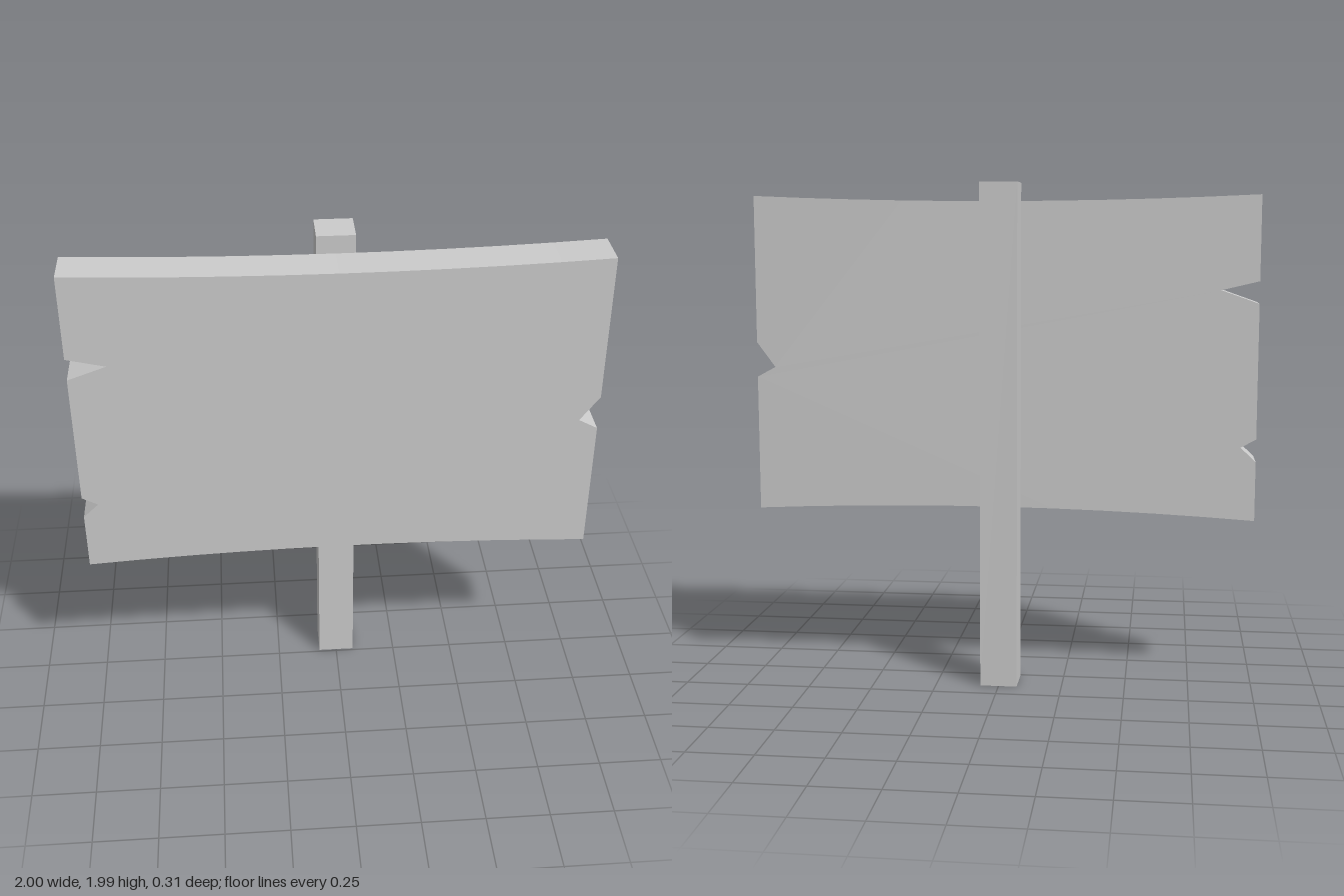
import * as THREE from 'three';

const material = new THREE.MeshStandardMaterial({ color: 0xcccccc, flatShading: true });

// Plank outline: sagging top, arched bottom, chipped side edges
function createBoard() {
  const outline = new THREE.Shape();
  outline.moveTo(-1, 0.665);
  outline.quadraticCurveTo(0, 0.73, 1, 0.675);
  const rightChip = [[1, 1.215], [0.926, 1.255], [1, 1.355], [1, 1.938]];
  rightChip.forEach(([x, y]) => outline.lineTo(x, y));
  outline.quadraticCurveTo(0, 1.892, -1, 1.938);
  const leftChips = [
    [-1, 1.607], [-0.853, 1.572], [-1, 1.52],
    [-1, 0.99], [-0.94, 0.957], [-1, 0.9],
  ];
  leftChips.forEach(([x, y]) => outline.lineTo(x, y));
  outline.closePath();

  const geometry = new THREE.ExtrudeGeometry(outline, {
    depth: 0.163, bevelEnabled: false, curveSegments: 10,
  });
  const board = new THREE.Mesh(geometry, material);
  board.name = 'signBoard';
  board.position.z = -0.008;
  return board;
}

// Square post behind the board, hollow and open at the foot
function createPost() {
  const geometry = new THREE.BoxGeometry(0.146, 1.985, 0.146);
  const faces = Array.from(geometry.index.array);
  faces.splice(18, 6); // drop the underside
  geometry.setIndex(faces);
  geometry.clearGroups();
  const postMaterial = material.clone();
  postMaterial.side = THREE.DoubleSide;
  const post = new THREE.Mesh(geometry, postMaterial);
  post.name = 'post';
  post.position.set(0, 0.9925, -0.082);
  return post;
}

export function createModel() {
  const sign = new THREE.Group();
  sign.name = 'woodenSign';
  sign.add(createBoard(), createPost());
  return sign;
}
